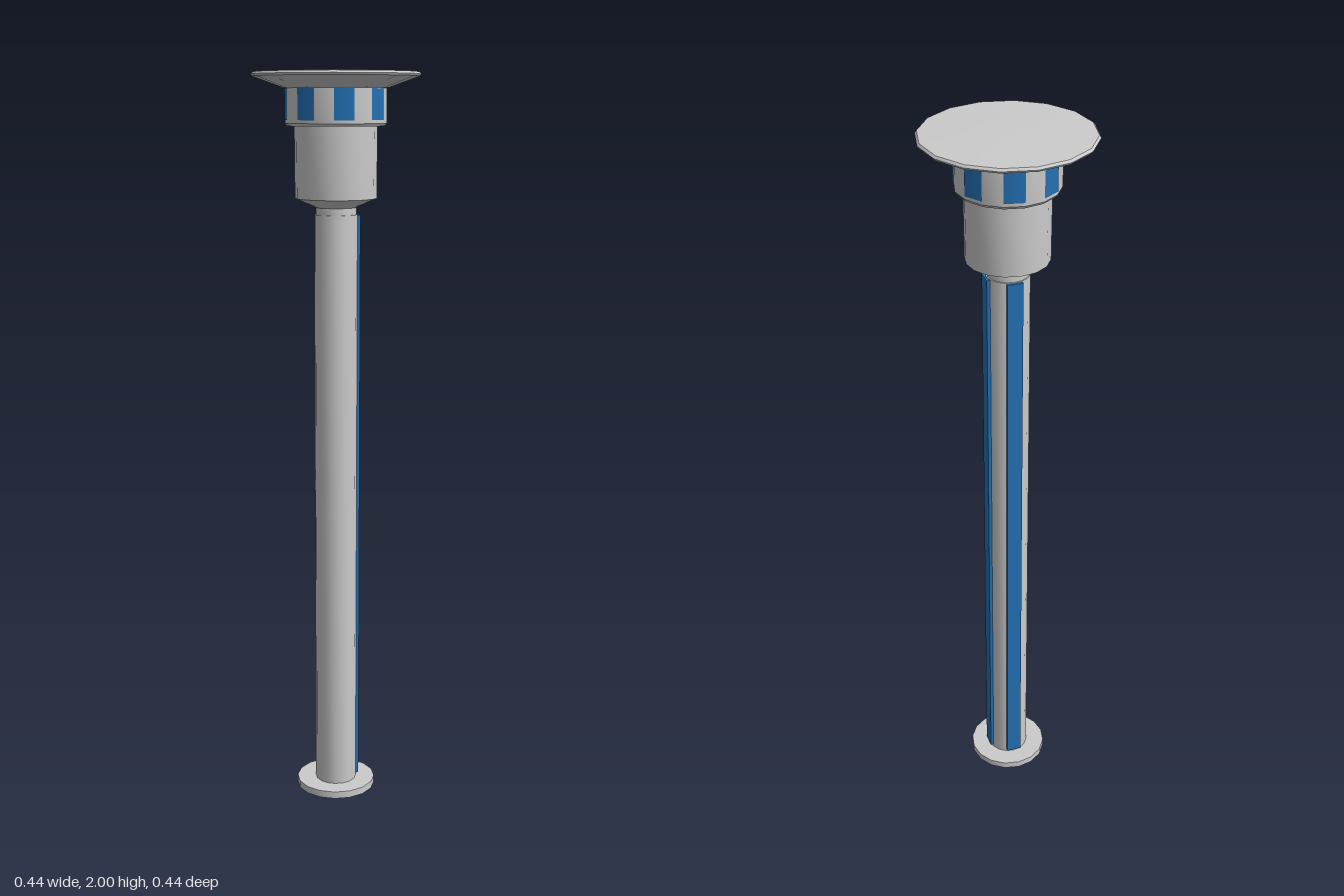
import * as THREE from 'three';
import { toCreasedNormals } from 'three/addons/utils/BufferGeometryUtils.js';

const SIDES = 16;

export function createModel() {
  const model = new THREE.Group();
  model.name = 'bollardLight';
  const grey = new THREE.MeshStandardMaterial({ color: 0xcccccc });
  const blue = new THREE.MeshStandardMaterial({ color: 0x2471b5 });

  function add(name, geometry, material, parent = model) {
    const mesh = new THREE.Mesh(geometry, material);
    mesh.name = name;
    parent.add(mesh);
    return mesh;
  }

  // Turned part from [radius, height] pairs, listed from bottom to top
  function turned(name, profile) {
    const points = profile.map(([r, y]) => new THREE.Vector2(r, y));
    const geometry = new THREE.LatheGeometry(points, SIDES);
    return add(name, toCreasedNormals(geometry, 0.5), grey);
  }

  // Base flange, with the pole standing in its centre
  turned('baseFlange', [[0.055, 0], [0.11, 0], [0.11, 0.02], [0.055, 0.02]]);
  turned('pole', [[0, 0.004], [0.057, 0.004], [0.057, 1.63], [0, 1.63]]);

  // Lamp housing with its narrow neck and tapered underside
  turned('housing', [
    [0, 1.625], [0.054, 1.625], [0.054, 1.648], [0.108, 1.672], [0.109, 1.87],
  ]);

  // Lantern ring
  turned('lanternRing', [
    [0.1, 1.858], [0.128, 1.858], [0.133, 1.865], [0.133, 1.957], [0.1, 1.957],
  ]);

  // Flared cap with a slightly domed top
  turned('cap', [
    [0.125, 1.952], [0.138, 1.955], [0.218, 1.984], [0.221, 1.989],
    [0.216, 1.995], [0.11, 1.998], [0, 2],
  ]);

  // Windows fill every second facet of the lantern ring
  const windows = new THREE.Group();
  windows.name = 'windows';
  model.add(windows);
  const step = (Math.PI * 2) / SIDES;
  for (let i = 1; i < SIDES; i += 2) {
    const geometry = new THREE.CylinderGeometry(0.134, 0.134, 0.079, 1, 1, true, i * step, step);
    add('window', geometry, blue, windows).position.y = 1.913;
  }

  // Upright strips on the left and back of the pole
  for (const [name, angle] of [['leftStrip', Math.PI / 2], ['backStrip', Math.PI]]) {
    const geometry = new THREE.BoxGeometry(0.042, 1.6, 0.02);
    geometry.translate(0, 0.828, 0.0515);
    add(name, geometry, blue).rotation.y = angle;
  }

  return model;
}
